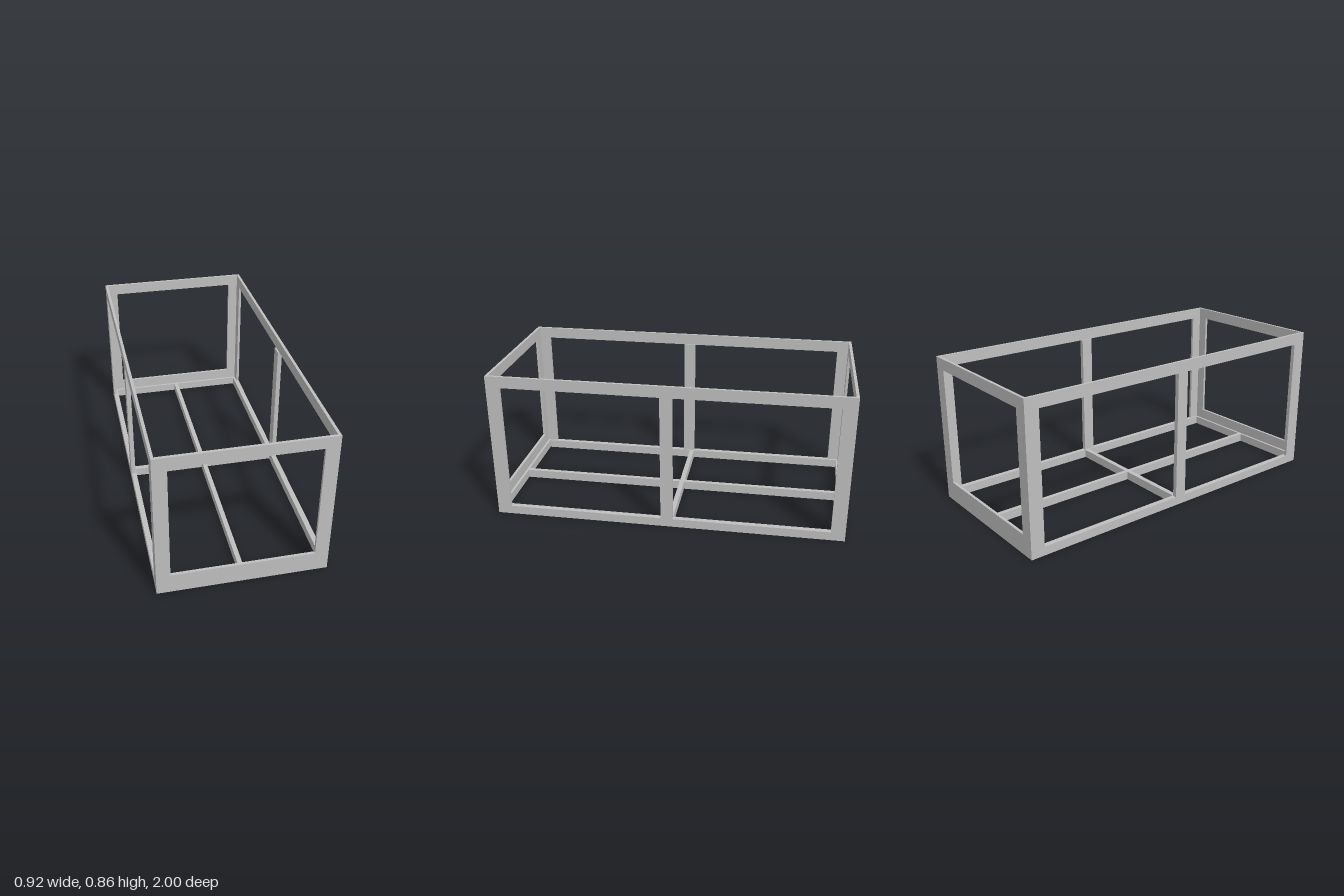
import * as THREE from 'three';

const W = 0.46, H = 0.855, L = 1;      // half width, height, half length
const PLATE = 0.016, RAIL = 0.03;      // wall plate and bottom rail thickness
const RAIL_H = 0.05, TOP = 0.79;       // bottom rail height, underside of top rail

export function createModel() {
  const group = new THREE.Group();
  const steel = new THREE.MeshStandardMaterial({ color: 0xbfbfbf });
  steel.name = 'grey steel';

  const add = (name, geometry) => {
    const mesh = new THREE.Mesh(geometry, steel);
    mesh.name = name;
    group.add(mesh);
    return mesh;
  };

  const box = (name, x0, x1, y0, y1, z0, z1) =>
    add(name, new THREE.BoxGeometry(x1 - x0, y1 - y0, z1 - z0))
      .position.set((x0 + x1) / 2, (y0 + y1) / 2, (z0 + z1) / 2);

  // Upright plate centred in depth, with rectangular openings [u0, u1, v0, v1]
  const wall = (halfWidth, openings) => {
    const rect = (P, u0, u1, v0, v1) => new P([
      new THREE.Vector2(u0, v0), new THREE.Vector2(u1, v0),
      new THREE.Vector2(u1, v1), new THREE.Vector2(u0, v1),
    ]);
    const shape = rect(THREE.Shape, -halfWidth, halfWidth, 0, H);
    shape.holes = openings.map((o) => rect(THREE.Path, ...o));
    return new THREE.ExtrudeGeometry(shape, { depth: PLATE, bevelEnabled: false })
      .translate(0, 0, -PLATE / 2);
  };

  // End frames with a deep lower panel
  for (const s of [1, -1]) {
    const end = add(s > 0 ? 'frontFrame' : 'backFrame',
      wall(W - PLATE, [[-0.385, 0.385, 0.115, TOP]]));
    end.position.z = s * (L - PLATE / 2);
  }

  // Side frames, each with two openings
  for (const s of [1, -1]) {
    const side = add(s > 0 ? 'leftFrame' : 'rightFrame',
      wall(L, [[-0.92, -0.034, RAIL_H, TOP], [0.034, 0.92, RAIL_H, TOP]]));
    side.rotation.y = Math.PI / 2;
    side.position.x = s * (W - PLATE / 2);
  }

  // Inner bottom rails and the thickening of the middle posts
  const xi = W - RAIL, xo = W - PLATE, zi = L - RAIL, zo = L - PLATE;
  for (const s of [1, -1]) {
    const [x0, x1] = s > 0 ? [xi, xo] : [-xo, -xi];
    const [z0, z1] = s > 0 ? [zi, zo] : [-zo, -zi];
    box('sideBottomRail', x0, x1, 0, RAIL_H, -zo, zo);
    box('endBottomRail', -xi, xi, 0, RAIL_H, z0, z1);
    box('middlePost', s > 0 ? x0 + 0.005 : x0, s > 0 ? x1 : x1 - 0.005,
      RAIL_H, TOP, -0.034, 0.034);
  }

  // Floor bars crossing in the middle
  box('crossBar', -xi, xi, 0, RAIL_H, -0.034, -0.006);
  box('longBarFront', -0.013, 0.013, 0, RAIL_H, -0.006, zi);
  box('longBarBack', -0.013, 0.013, 0, RAIL_H, -zi, -0.034);

  return group;
}
